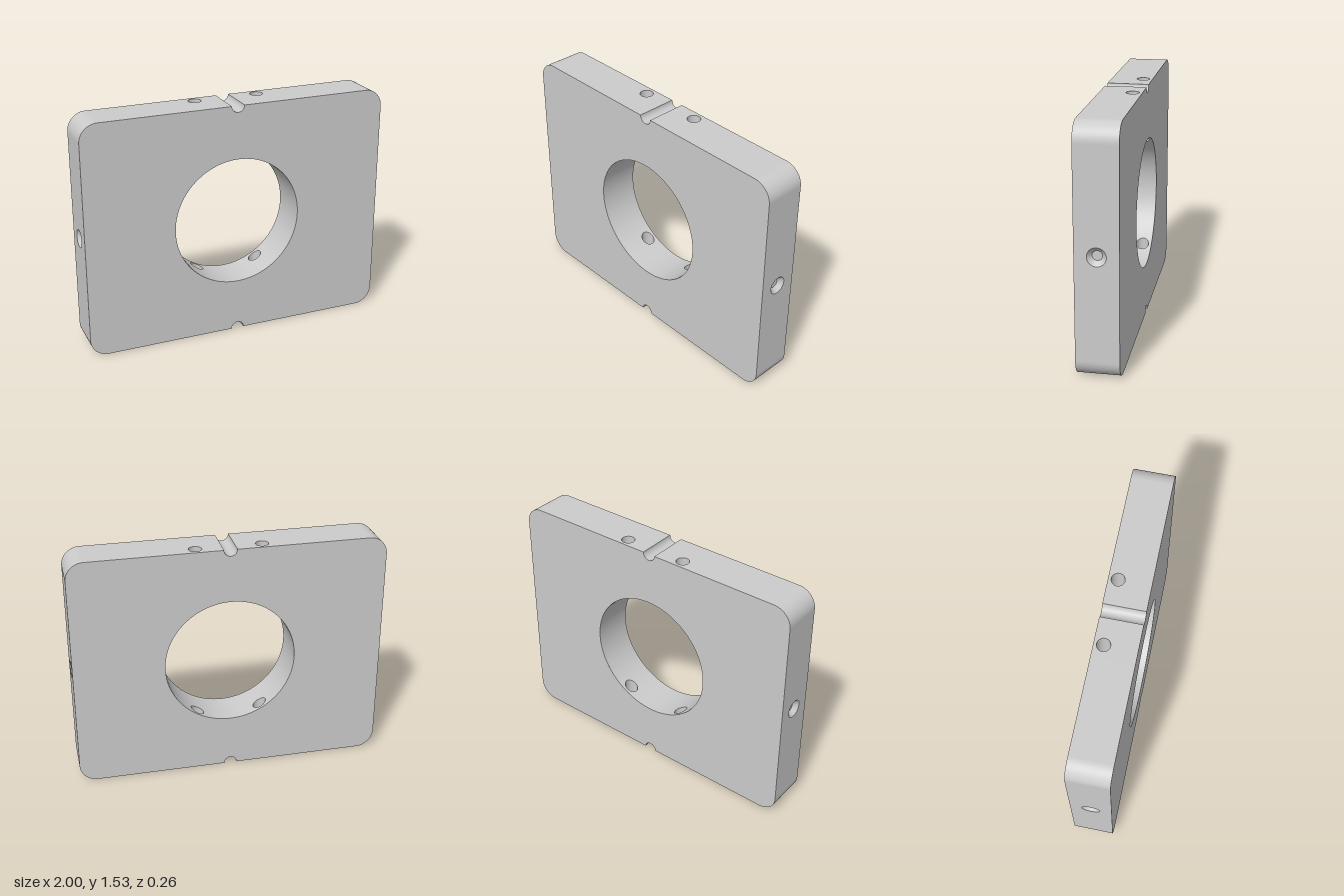
import * as THREE from 'three';

const H = 0.765, T = 0.131;              // half height, half thickness (half width is 1)
const CORNER = 0.115, GROOVE = 0.042, BORE = 0.42;
const PIN = { x: 0.208, z: -0.071, r: 0.041 };
const material = new THREE.MeshStandardMaterial({ color: 0xcccccc });
const V = (x, y, z) => new THREE.Vector3(x, y, z);

// Surface through rows of points; it faces along-row x row-to-row
function loft(rows) {
  const n = rows[0].length, index = [];
  for (let i = 0; i < rows.length - 1; i++) {
    for (let j = 0; j < n - 1; j++) {
      const a = i * n + j, c = a + n;
      index.push(a, a + 1, c, a + 1, c + 1, c);
    }
  }
  const geo = new THREE.BufferGeometry().setFromPoints(rows.flat());
  geo.setIndex(index);
  geo.computeVertexNormals();
  return geo;
}

// Wall as deep as the plate along a list of [x, y] points
const wall = (pts) => loft([-T, T].map((z) => pts.map(([x, y]) => V(x, y, z))));

// Points on an arc, angles in degrees
function arc(cx, cy, r, from, to, steps) {
  return Array.from({ length: steps + 1 }, (_, i) => {
    const a = THREE.MathUtils.degToRad(from + (to - from) * i / steps);
    return [cx + r * Math.cos(a), cy + r * Math.sin(a)];
  });
}

// Closed circle that starts at the corner of its surrounding rectangle
const ring = (u, v, r) => arc(u, v, r, -135, 225, 64);

// Rectangle with a round hole, laid on a surface by map(u, v)
function panel(u0, u1, v0, v1, hole, map) {
  const corners = [[u0, v0], [u1, v0], [u1, v1], [u0, v1], [u0, v0]];
  const rect = hole.map((_, k) => {
    const s = Math.min(3, Math.floor(k / 16)), t = k / 16 - s;
    const [a, b] = [corners[s], corners[s + 1]];
    return [a[0] + (b[0] - a[0]) * t, a[1] + (b[1] - a[1]) * t];
  });
  const rows = [0, 0.2, 0.4, 0.6, 0.8, 1].map((t) => rect.map(([u, v], k) =>
    map(u + (hole[k][0] - u) * t, v + (hole[k][1] - v) * t)));
  return loft(rows);
}

// Mirrored copy with the winding put right
function mirrored(geo, sx, sy) {
  const copy = geo.clone();
  const p = copy.attributes.position;
  for (let i = 0; i < p.count; i++) p.setXY(i, p.getX(i) * sx, p.getY(i) * sy);
  if (sx * sy < 0) copy.setIndex([...geo.index.array].reverse());
  copy.computeVertexNormals();
  return copy;
}

export function createModel() {
  const model = new THREE.Group();
  model.name = 'boredPlate';
  const body = new THREE.Group();
  body.name = 'plate';
  body.position.y = H;
  model.add(body);

  const add = (name, geo) => {
    const mesh = new THREE.Mesh(geo, material);
    mesh.name = name;
    body.add(mesh);
    return mesh;
  };
  const both = (name, geo) => [1, -1].forEach((sx) => add(name, mirrored(geo, sx, 1)));
  const four = (name, geo) => [1, -1].forEach((sy) =>
    [1, -1].forEach((sx) => add(name, mirrored(geo, sx, sy))));

  // Front and back faces: rounded outline, two grooves, large bore
  const q = Math.PI / 2, cx = 1 - CORNER, cy = H - CORNER;
  const outline = new THREE.Shape();
  outline.absarc(cx, cy, CORNER, 0, q);
  outline.absarc(0, H, GROOVE, 0, -2 * q, true);
  outline.absarc(-cx, cy, CORNER, q, 2 * q);
  outline.absarc(-cx, -cy, CORNER, 2 * q, 3 * q);
  outline.absarc(0, -H, GROOVE, 2 * q, 0, true);
  outline.absarc(cx, -cy, CORNER, -q, 0);
  outline.holes.push(new THREE.Path().absarc(0, 0, BORE, 0, 4 * q, true));
  const face = new THREE.ShapeGeometry(outline, 48);
  add('frontFace', face).position.z = T;
  const back = add('backFace', face);
  back.position.z = -T;
  back.rotation.y = Math.PI;

  // Outer edge: rounded corners, grooves and the flat runs of top and bottom
  four('roundedCorner', wall(arc(cx, cy, CORNER, 0, 90, 24)));
  four('groove', wall(arc(0, H, GROOVE, 0, -90, 16)));
  four('outerEdge', wall([[cx, H], [0.3, H]]));
  four('innerEdge', wall([[0.12, H], [GROOVE, H]]));
  four('pinHoleEdge', panel(-T, T, 0.12, 0.3, ring(PIN.z, PIN.x, PIN.r), (z, x) => V(x, H, z)));

  // Bore wall, broken by the four pin holes
  const boreY = (x) => Math.sqrt(BORE * BORE - x * x);
  const boreX = (deg) => BORE * Math.cos(THREE.MathUtils.degToRad(deg));
  four('boreWall', wall(arc(0, 0, BORE, 90, 72, 12)));
  four('boreWall', wall(arc(0, 0, BORE, 48, 0, 26)));
  four('borePinPatch', panel(boreX(72), boreX(48), -T, T, ring(PIN.x, PIN.z, PIN.r),
    (x, z) => V(x, boreY(x), z)));

  // Pin holes running from the top and bottom edges into the bore
  const pin = ring(PIN.z, PIN.x, PIN.r);
  four('pinHole', loft([pin.map(([z, x]) => V(x, H, z)), pin.map(([z, x]) => V(x, boreY(x), z))]));

  // Left and right edges with a conical centre mark
  const sideRing = (x, r) => ring(0, 0, r).map(([y, z]) => V(x, y, z));
  const rim = 0.057, seat = 0.03, depth = 0.03;
  four('sideEdge', wall([[1, 0.13], [1, cy]]));
  both('sideMarkEdge', panel(-0.13, 0.13, -T, T, ring(0, 0, rim), (y, z) => V(1, y, z)));
  both('countersink', loft([sideRing(1, rim), sideRing(1 - depth, seat)]));
  both('countersinkFloor', loft([sideRing(1 - depth, seat), sideRing(1 - depth, 0)]));

  return model;
}
